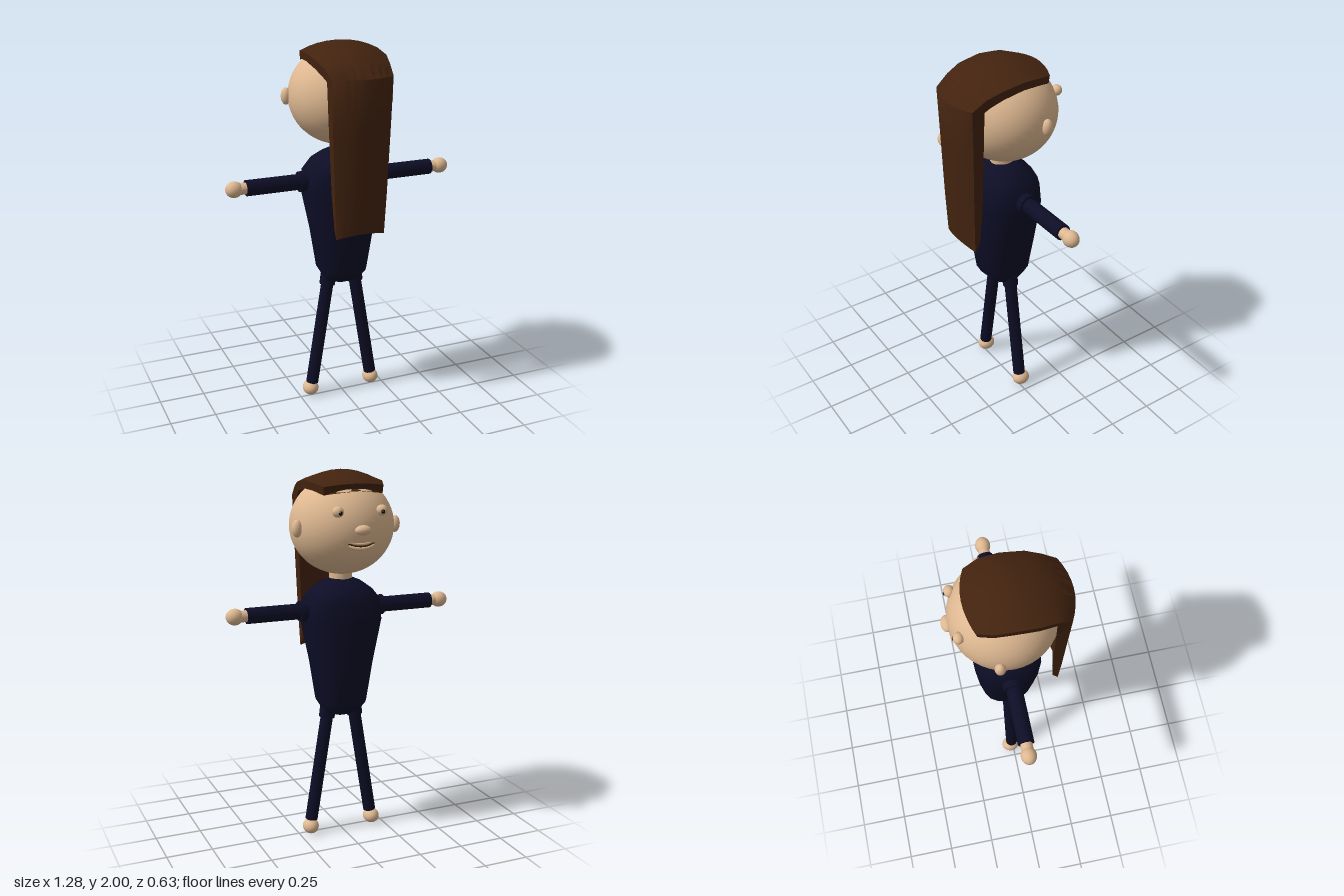
import * as THREE from 'three';

const mat = (name, color, side = THREE.FrontSide) => {
  const m = new THREE.MeshStandardMaterial({ color, side });
  m.name = name;
  return m;
};

// Skin closed rings of equal point count into a capped surface
function loft(rings) {
  const n = rings[0].length, pos = [], idx = [];
  rings.forEach(r => r.forEach(p => pos.push(...p)));
  for (let i = 0; i < rings.length - 1; i++)
    for (let j = 0; j < n; j++) {
      const a = i * n + j, b = i * n + (j + 1) % n;
      idx.push(a, a + n, b, b, a + n, b + n);
    }
  for (const [ring, flip] of [[0, false], [rings.length - 1, true]]) {
    const base = pos.length / 3, c = [0, 0, 0];
    rings[ring].forEach(p => { pos.push(...p); p.forEach((v, k) => { c[k] += v / n; }); });
    pos.push(...c);
    for (let j = 0; j < n; j++) {
      const a = base + j, b = base + (j + 1) % n;
      idx.push(...(flip ? [b, base + n, a] : [a, base + n, b]));
    }
  }
  const g = new THREE.BufferGeometry();
  g.setAttribute('position', new THREE.Float32BufferAttribute(pos, 3));
  g.setIndex(idx);
  g.computeVertexNormals();
  return g;
}

export function createModel() {
  const model = new THREE.Group();
  model.name = 'figure';
  const skin = mat('skin', 0xdeb891);
  const navy = mat('navy cloth', 0x0d0d26);
  const brown = mat('brown hair', 0x43230f, THREE.DoubleSide);
  const black = mat('black', 0x080808);
  const white = mat('white', 0xf2f2f2);

  const add = (name, geo, material, x = 0, y = 0, z = 0) => {
    const m = new THREE.Mesh(geo, material);
    m.name = name;
    m.position.set(x, y, z);
    model.add(m);
    return m;
  };
  const ball = (name, material, c, r, seg = 20) => {
    const m = add(name, new THREE.SphereGeometry(1, seg, Math.round(seg * 0.7)), material, ...c);
    m.scale.set(...r);
    return m;
  };
  const rod = (name, material, a, b, r, sides = 16) => {
    const p = new THREE.Vector3(...a), q = new THREE.Vector3(...b), d = q.clone().sub(p);
    const m = add(name, new THREE.CylinderGeometry(r, r, d.length(), sides), material);
    m.position.copy(p).add(q).multiplyScalar(0.5);
    m.quaternion.setFromUnitVectors(new THREE.Vector3(0, 1, 0), d.normalize());
    return m;
  };

  // Head and neck (the face looks toward -z)
  ball('head', skin, [0, 1.715, -0.018], [0.275, 0.257, 0.272], 40);
  rod('neck', skin, [0, 1.4, -0.005], [0, 1.5, -0.005], 0.062);

  // Torso: y, half width, half depth
  const torso = [
    [0.68, 0.04, 0.04], [0.705, 0.1, 0.09], [0.76, 0.132, 0.138], [0.98, 0.165, 0.168],
    [1.21, 0.215, 0.18], [1.32, 0.207, 0.168], [1.375, 0.165, 0.14], [1.415, 0.11, 0.085], [1.435, 0.06, 0.055],
  ].map(([y, w, d]) => Array.from({ length: 16 }, (_, i) => {
    const t = i / 16 * Math.PI * 2, c = Math.cos(t), s = Math.sin(t);
    const e = v => Math.sign(v) * Math.pow(Math.abs(v), 0.8);
    return [w * e(c), y, -0.008 + d * e(s)];
  }));
  add('torso', loft(torso), navy);

  // Limbs, ears and eyes, mirrored
  for (const s of [1, -1]) {
    const side = s > 0 ? 'left' : 'right';
    const n = part => side + part;
    rod(n('ShoulderCuff'), navy, [s * 0.16, 1.27, -0.012], [s * 0.24, 1.27, -0.012], 0.055);
    rod(n('Arm'), navy, [s * 0.18, 1.27, -0.012], [s * 0.53, 1.27, -0.012], 0.042);
    rod(n('Wrist'), skin, [s * 0.52, 1.27, -0.012], [s * 0.57, 1.27, -0.012], 0.031);
    ball(n('Hand'), skin, [s * 0.592, 1.27, -0.012], [0.047, 0.043, 0.041]);

    rod(n('HipCuff'), navy, [s * 0.076, 0.725, -0.008], [s * 0.083, 0.667, -0.008], 0.043);
    rod(n('Leg'), navy, [s * 0.076, 0.71, -0.008], [s * 0.178, 0.08, -0.008], 0.034);
    rod(n('Ankle'), skin, [s * 0.176, 0.09, -0.008], [s * 0.183, 0.045, -0.01], 0.026);
    ball(n('Foot'), skin, [s * 0.185, 0.042, -0.016], [0.044, 0.042, 0.05]);

    ball(n('Ear'), skin, [s * 0.275, 1.715, -0.088], [0.027, 0.045, 0.028], 16);
    ball(n('Eye'), skin, [s * 0.12, 1.808, -0.253], [0.03, 0.028, 0.027], 16);
    ball(n('Pupil'), black, [s * 0.116, 1.803, -0.277], [0.011, 0.011, 0.006], 10);
    ball(n('EyeGlint'), white, [s * 0.116 + 0.005, 1.807, -0.283], [0.003, 0.003, 0.002], 8);
  }

  // Nose and smiling mouth
  ball('nose', skin, [0, 1.716, -0.29], [0.044, 0.026, 0.03], 18);
  const smile = (name, y, r, material) => {
    const pts = [-1, -0.5, 0, 0.5, 1].map(t =>
      new THREE.Vector3(t * 0.07, y + 0.014 * t * t, -0.277 + 0.012 * t * t));
    add(name, new THREE.TubeGeometry(new THREE.CatmullRomCurve3(pts), 16, r, 8), material);
  };
  smile('upperLip', 1.645, 0.008, skin);
  smile('mouthLine', 1.635, 0.006, brown);
  smile('lowerLip', 1.622, 0.01, skin);

  // Hair: crown patch flowing into a long hanging sheet.
  // Each row: outer centre z,y | outer edge x,z,y | inner offset z,y
  const rows = [
    [-0.213, 1.94, 0.165, -0.175, 1.925, 0.005, -0.042],
    [-0.1, 1.985, 0.193, -0.1, 1.942, 0, -0.04],
    [0, 2.0, 0.2, 0, 1.948, 0, -0.042],
    [0.13, 1.975, 0.195, 0.12, 1.93, -0.01, -0.045],
    [0.22, 1.93, 0.178, 0.2, 1.9, -0.03, -0.045],
    [0.315, 1.85, 0.165, 0.272, 1.85, -0.07, -0.02],
    [0.308, 1.6, 0.158, 0.265, 1.6, -0.06, 0],
    [0.292, 1.25, 0.145, 0.258, 1.25, -0.05, 0],
    [0.278, 1.04, 0.135, 0.25, 1.018, -0.03, 0.045],
  ];
  const steps = [-1, -0.75, -0.5, -0.25, 0, 0.25, 0.5, 0.75, 1];
  const hair = rows.map(([cz, cy, ex, ez, ey, dz, dy]) => {
    const outer = steps.map(t => [ex * t, cy + (ey - cy) * t * t, cz + (ez - cz) * t * t]);
    const inner = outer.map(([x, y, z]) => [x * 0.985, y + dy, z + dz]).reverse();
    return [...outer, ...inner];
  });
  const hairGeo = loft(hair).toNonIndexed();
  // Smooth along the sheet, sharp at its rim
  add('hair', creased(hairGeo, 0.9), brown);

  return model;
}

// Average normals only between faces that meet below the crease angle
function creased(g, angle) {
  const p = g.attributes.position, faces = new Map(), fn = [];
  const v = i => new THREE.Vector3().fromBufferAttribute(p, i);
  const key = i => v(i).toArray().map(k => Math.round(k * 1e4)).join();
  for (let i = 0; i < p.count; i += 3) {
    const a = v(i), nrm = v(i + 1).sub(a).cross(v(i + 2).sub(a)).normalize();
    fn.push(nrm);
    for (let k = 0; k < 3; k++) {
      const id = key(i + k);
      if (!faces.has(id)) faces.set(id, []);
      faces.get(id).push(nrm);
    }
  }
  for (let i = 0; i < p.count; i++) {
    const own = fn[Math.floor(i / 3)], sum = new THREE.Vector3();
    faces.get(key(i)).forEach(f => { if (f.dot(own) > Math.cos(angle)) sum.add(f); });
    sum.normalize();
    g.attributes.normal.setXYZ(i, sum.x, sum.y, sum.z);
  }
  return g;
}
